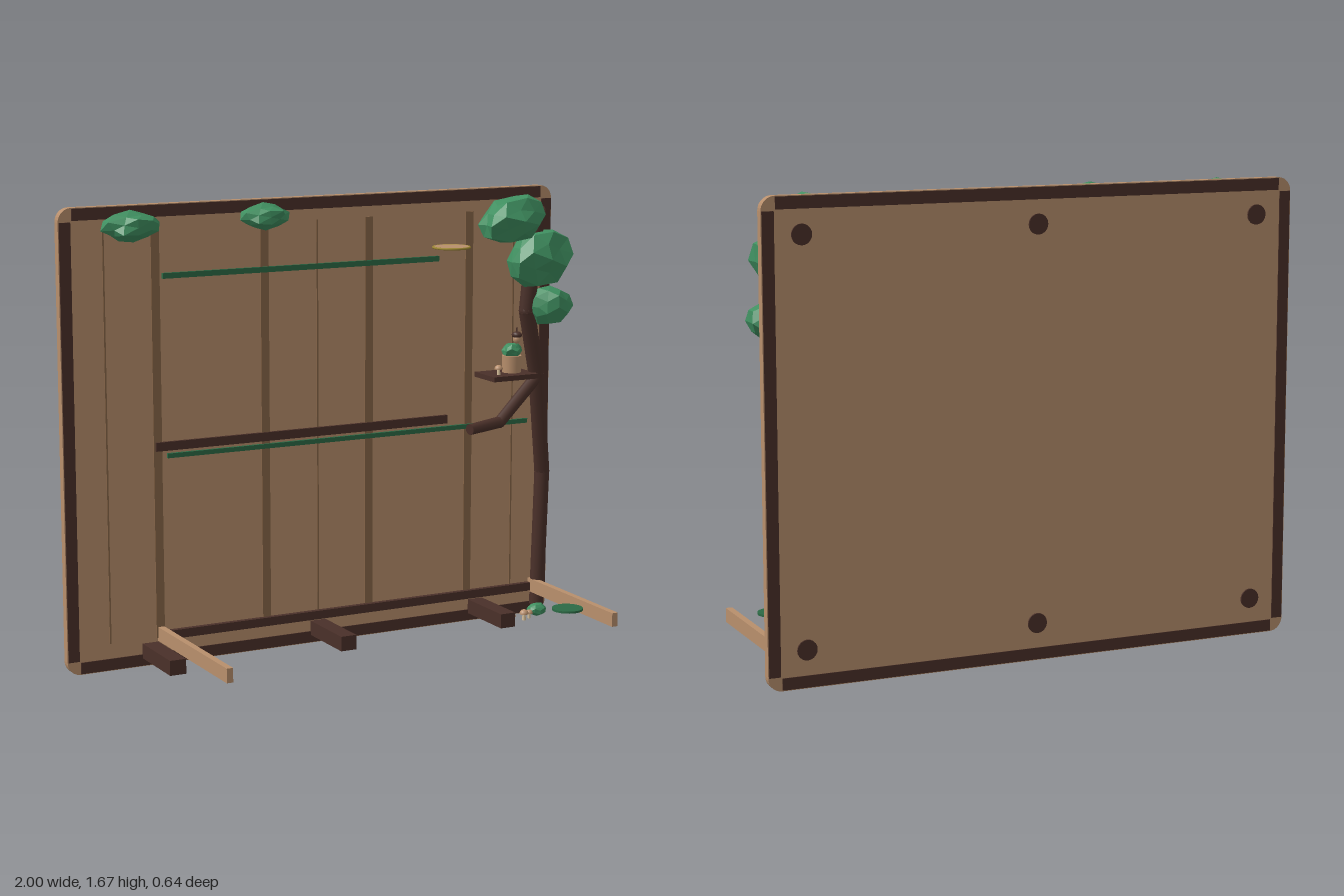
import * as THREE from 'three';

const mat = (name, color, flat = false) => {
  const m = new THREE.MeshStandardMaterial({ color, flatShading: flat });
  m.name = name;
  return m;
};

export function createModel() {
  const root = new THREE.Group();
  root.name = 'woodlandBackdrop';

  const tan = mat('tanWood', 0xb88f6c);
  const dark = mat('darkWood', 0x4a3029);
  const slat = mat('slatWood', 0x886648);
  const leaf = mat('leafGreen', 0x3f8f60, true);
  const vine = mat('vineGreen', 0x2c6a45);
  const gold = mat('goldTrim', 0xa08a35);
  const cream = mat('creamStem', 0xd8c09a);

  const add = (name, geo, material, x = 0, y = 0, z = 0, parent = root) => {
    const m = new THREE.Mesh(geo, material);
    m.name = name;
    m.position.set(x, y, z);
    parent.add(m);
    return m;
  };
  // Box given by its limits on each axis
  const box = (name, material, x0, x1, y0, y1, z0, z1) =>
    add(name, new THREE.BoxGeometry(x1 - x0, y1 - y0, z1 - z0), material,
      (x0 + x1) / 2, (y0 + y1) / 2, (z0 + z1) / 2);

  // Back panel with rounded corners
  const H = 1.675, r = 0.05;
  const outline = new THREE.Shape();
  outline.moveTo(-1 + r, 0);
  outline.absarc(1 - r, r, r, -Math.PI / 2, 0);
  outline.absarc(1 - r, H - r, r, 0, Math.PI / 2);
  outline.absarc(-1 + r, H - r, r, Math.PI / 2, Math.PI);
  outline.absarc(-1 + r, r, r, Math.PI, Math.PI * 1.5);
  add('backPanel', new THREE.ExtrudeGeometry(outline, { depth: 0.032, bevelEnabled: false, curveSegments: 4 }),
    tan, 0, 0, -0.314);

  // Dark frame bars, slightly proud of the panel faces
  const e = 0.003, w = 0.045;
  box('frameBottom', dark, -0.95, 0.95, e, w, -0.317, -0.278);
  box('frameTop', dark, -0.95, 0.95, H - w, H - e, -0.317, -0.278);
  for (const s of [-1, 1]) {
    const a = s * (1 - e), b = s * (1 - w);
    box('frameSide', dark, Math.min(a, b), Math.max(a, b), r, H - r, -0.317, -0.278);
  }

  // Round fasteners on the back
  for (const x of [-0.86, 0, 0.86])
    for (const y of [0.135, 1.545])
      add('backFastener', new THREE.CylinderGeometry(0.036, 0.036, 0.012, 20), dark, x, y, -0.314)
        .rotation.x = Math.PI / 2;

  // Vertical slats and thin seams on the front
  for (const x of [-0.64, -0.213, 0.213, 0.64]) box('slat', slat, x - 0.016, x + 0.016, 0.1, 1.59, -0.284, -0.278);
  for (const x of [-0.835, 0, 0.835]) box('seam', slat, x - 0.003, x + 0.003, 0.1, 1.59, -0.284, -0.279);

  // Horizontal rails
  box('lowerRail', dark, -0.625, 0.92, 0.093, 0.125, -0.284, -0.262);
  box('middleRail', dark, -0.65, 0.545, 0.79, 0.822, -0.284, -0.27);

  // Vine strips
  box('upperVine', vine, -0.615, 0.505, 1.41, 1.43, -0.284, -0.27);
  box('middleVine', vine, -0.605, 0.9, 0.762, 0.779, -0.284, -0.27);

  // Feet and long side arms
  for (const x of [-0.68, 0, 0.68]) box('foot', dark, x - 0.031, x + 0.031, 0.03, 0.085, -0.283, -0.03);
  for (const x of [-0.638, 0.93]) box('sideArm', tan, x - 0.012, x + 0.012, 0.088, 0.14, -0.283, 0.32);

  // Trunk and branches: a tapering cylinder per straight run, with ball joints
  const limb = (name, pts, r0, r1) => {
    const g = new THREE.Group();
    g.name = name;
    root.add(g);
    const v = pts.map(p => new THREE.Vector3(...p));
    const rad = i => r0 + (r1 - r0) * i / (v.length - 1);
    for (let i = 0; i + 1 < v.length; i++) {
      const d = v[i + 1].clone().sub(v[i]);
      const c = v[i].clone().addScaledVector(d, 0.5);
      const m = add(name + 'Run', new THREE.CylinderGeometry(rad(i + 1), rad(i), d.length(), 10), dark, c.x, c.y, c.z, g);
      m.quaternion.setFromUnitVectors(new THREE.Vector3(0, 1, 0), d.normalize());
      if (i) add(name + 'Joint', new THREE.SphereGeometry(rad(i), 10, 8), dark, v[i].x, v[i].y, v[i].z, g);
    }
  };
  limb('trunk', [[0.945, 0.04, -0.258], [0.96, 0.57, -0.255], [0.885, 0.97, -0.186],
    [0.815, 1.22, -0.145], [0.838, 1.6, -0.12]], 0.029, 0.032);
  limb('lowerBranch', [[0.885, 0.955, -0.185], [0.68, 0.81, -0.11], [0.53, 0.8, -0.075]], 0.024, 0.021);
  limb('upperBranch', [[0.86, 1.59, -0.12], [0.7, 1.615, -0.13]], 0.026, 0.022);

  // Faceted foliage: an icosphere with each corner pushed in or out by a fixed rule
  const bush = (name, x, y, z, rx, ry, rz, seed) => {
    const g = new THREE.IcosahedronGeometry(1, 1);
    const p = g.attributes.position, q = new THREE.Vector3();
    for (let i = 0; i < p.count; i++) {
      q.fromBufferAttribute(p, i);
      const n = Math.sin(Math.round(q.x * 50) * 12.99 + Math.round(q.y * 50) * 78.23 + Math.round(q.z * 50) * 37.7 + seed);
      q.multiplyScalar(0.95 + 0.12 * n);
      p.setXYZ(i, q.x * rx, q.y * ry, q.z * rz);
    }
    g.computeVertexNormals();
    return add(name, g, leaf, x, y, z);
  };
  bush('crownFoliage', 0.71, 1.575, -0.08, 0.135, 0.088, 0.088, 1).rotation.z = 0.15;
  bush('middleFoliage', 0.838, 1.425, -0.1, 0.132, 0.112, 0.09, 2).rotation.z = 0.1;
  bush('lowerFoliage', 0.903, 1.237, -0.127, 0.092, 0.078, 0.075, 3);
  bush('leftFoliage', -0.77, 1.613, -0.172, 0.11, 0.055, 0.075, 4).rotation.z = 0.1;
  bush('topFoliage', -0.258, 1.623, -0.183, 0.095, 0.048, 0.066, 5).rotation.z = 0.1;
  bush('groundBush', 0.865, 0.056, -0.127, 0.042, 0.027, 0.032, 6);

  // Small shelf with planter
  box('shelf', dark, 0.67, 0.865, 0.958, 0.977, -0.284, -0.135);
  add('planter', new THREE.CylinderGeometry(0.038, 0.036, 0.065, 14), tan, 0.793, 1.009, -0.215);
  bush('planterBush', 0.795, 1.06, -0.215, 0.04, 0.03, 0.035, 7);

  // Mushrooms
  const mushroom = (x, y, z, s) => {
    const g = new THREE.Group();
    g.name = 'mushroom';
    g.position.set(x, y, z);
    g.scale.setScalar(s);
    root.add(g);
    add('stem', new THREE.CylinderGeometry(0.006, 0.008, 0.026, 8), cream, 0, 0.013, 0, g);
    add('capTop', new THREE.SphereGeometry(0.018, 12, 5, 0, Math.PI * 2, 0, Math.PI / 2), tan, 0, 0.024, 0, g);
    add('capUnder', new THREE.CircleGeometry(0.018, 12), tan, 0, 0.024, 0, g).rotation.x = Math.PI / 2;
  };
  mushroom(0.715, 0.977, -0.18, 0.9);
  mushroom(0.74, 0.03, -0.1, 0.8);
  mushroom(0.79, 0.03, -0.095, 1);
  mushroom(0.822, 0.03, -0.11, 0.8);

  // Hanging acorn
  add('acornNut', new THREE.SphereGeometry(0.015, 10, 8), tan, 0.76, 1.118, -0.125).scale.y = 1.2;
  add('acornCap', new THREE.SphereGeometry(0.02, 10, 6), dark, 0.76, 1.134, -0.125).scale.y = 0.65;
  add('acornStalk', new THREE.CylinderGeometry(0.003, 0.003, 0.018, 6), dark, 0.76, 1.152, -0.125);

  // Floating discs
  add('greenDisc', new THREE.CylinderGeometry(0.058, 0.058, 0.008, 28), vine, 0.806, 0.14, 0.187);
  add('tanDisc', new THREE.CylinderGeometry(0.066, 0.066, 0.007, 32), tan, 0.403, 1.496, 0);
  add('discRim', new THREE.TorusGeometry(0.066, 0.0045, 6, 32), gold, 0.403, 1.496, 0).rotation.x = Math.PI / 2;

  return root;
}
